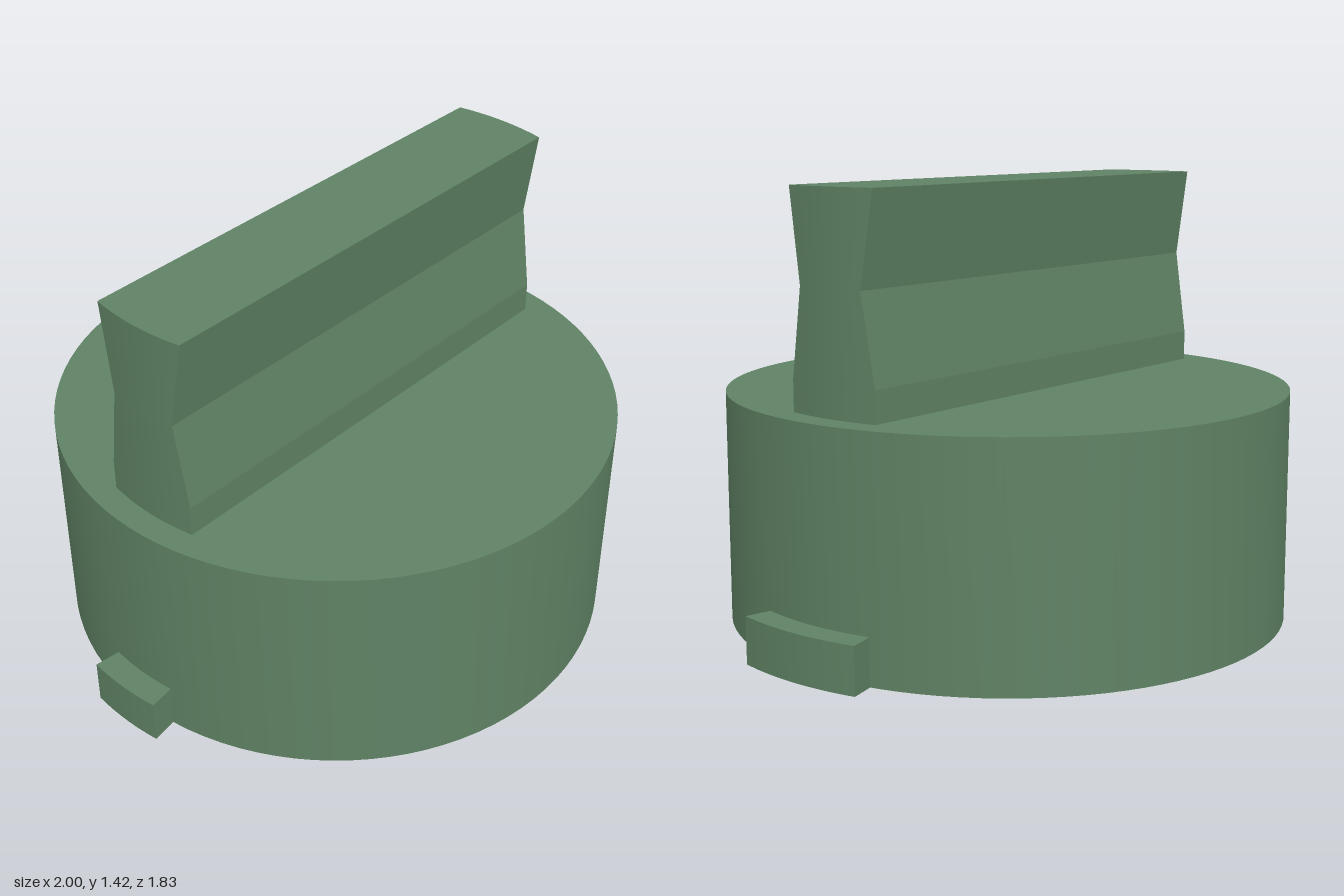
import * as THREE from 'three';
import { toCreasedNormals } from 'three/addons/utils/BufferGeometryUtils.js';

const green = new THREE.MeshStandardMaterial({ color: 0x5f8264 });
green.name = 'green';
const maroon = new THREE.MeshStandardMaterial({ color: 0x885a5a });
maroon.name = 'maroon';

function addPart(parent, name, geometry, material) {
  const mesh = new THREE.Mesh(geometry, material);
  mesh.name = name;
  parent.add(mesh);
  return mesh;
}

// Turned part with crisp rims and smooth round walls
function turned(points) {
  const profile = points.map(([r, y]) => new THREE.Vector2(r, y));
  return toCreasedNormals(new THREE.LatheGeometry(profile, 96), 0.5);
}

// Arc-shaped locking tab, centred on the given angle
function tabGeometry(centre, half) {
  const shape = new THREE.Shape();
  shape.absarc(0, 0, 1, centre - half, centre + half, false);
  shape.absarc(0, 0, 0.9, centre + half, centre - half, true);
  shape.closePath();
  const geometry = new THREE.ExtrudeGeometry(shape, { depth: 0.15, bevelEnabled: false, curveSegments: 12 });
  geometry.rotateX(-Math.PI / 2);
  return toCreasedNormals(geometry, 0.5);
}

// Waisted grip: plan outlines with rounded ends, stacked by height
function gripGeometry() {
  const levels = [[0.75, 0.165], [0.85, 0.165], [1.13, 0.12], [1.42, 0.165]];
  const radius = 0.83, steps = 10;
  const rings = levels.map(([y, w]) => {
    const ring = [];
    for (const side of [1, -1]) {
      for (let i = 0; i <= steps; i++) {
        const z = side * w * (1 - 2 * i / steps);
        ring.push([side * Math.sqrt(radius * radius - z * z), y, z]);
      }
    }
    return ring;
  });
  const positions = [];
  const tri = (a, b, c) => positions.push(...a, ...b, ...c);
  const n = rings[0].length;
  for (let k = 0; k < rings.length - 1; k++) {
    for (let i = 0; i < n; i++) {
      const j = (i + 1) % n;
      const a = rings[k][i], b = rings[k][j], c = rings[k + 1][j], d = rings[k + 1][i];
      tri(a, b, c);
      tri(a, c, d);
    }
  }
  const top = rings[rings.length - 1];
  for (let i = 0; i < n; i++) tri([0, 1.42, 0], top[i], top[(i + 1) % n]);
  const geometry = new THREE.BufferGeometry();
  geometry.setAttribute('position', new THREE.Float32BufferAttribute(positions, 3));
  return toCreasedNormals(geometry, 0.1);
}

export function createModel() {
  const model = new THREE.Group();
  model.name = 'twistCap';

  // Hollow round cap, open underneath
  addPart(model, 'capBody', turned([
    [0.78, 0.435], [0.78, 0], [0.915, 0], [0.915, 0.75], [0, 0.75],
  ]), green);

  addPart(model, 'grip', gripGeometry(), green);

  // Wide tab on the left, narrow one on the right
  addPart(model, 'wideTab', tabGeometry(0, 0.224), green);
  addPart(model, 'narrowTab', tabGeometry(Math.PI, 0.132), green);

  // Inner ceiling, facing down
  const ceiling = new THREE.CircleGeometry(0.78, 96);
  ceiling.rotateX(Math.PI / 2);
  addPart(model, 'innerCeiling', ceiling.translate(0, 0.435, 0), maroon);

  // Two hanging sockets with blind holes
  for (const side of [1, -1]) {
    const socket = addPart(model, side > 0 ? 'leftSocket' : 'rightSocket', turned([
      [0, 0.247], [0.131, 0.247], [0.131, 0.132], [0.213, 0.132], [0.213, 0.435],
    ]), maroon);
    socket.position.x = side * 0.334;
  }
  return model;
}
